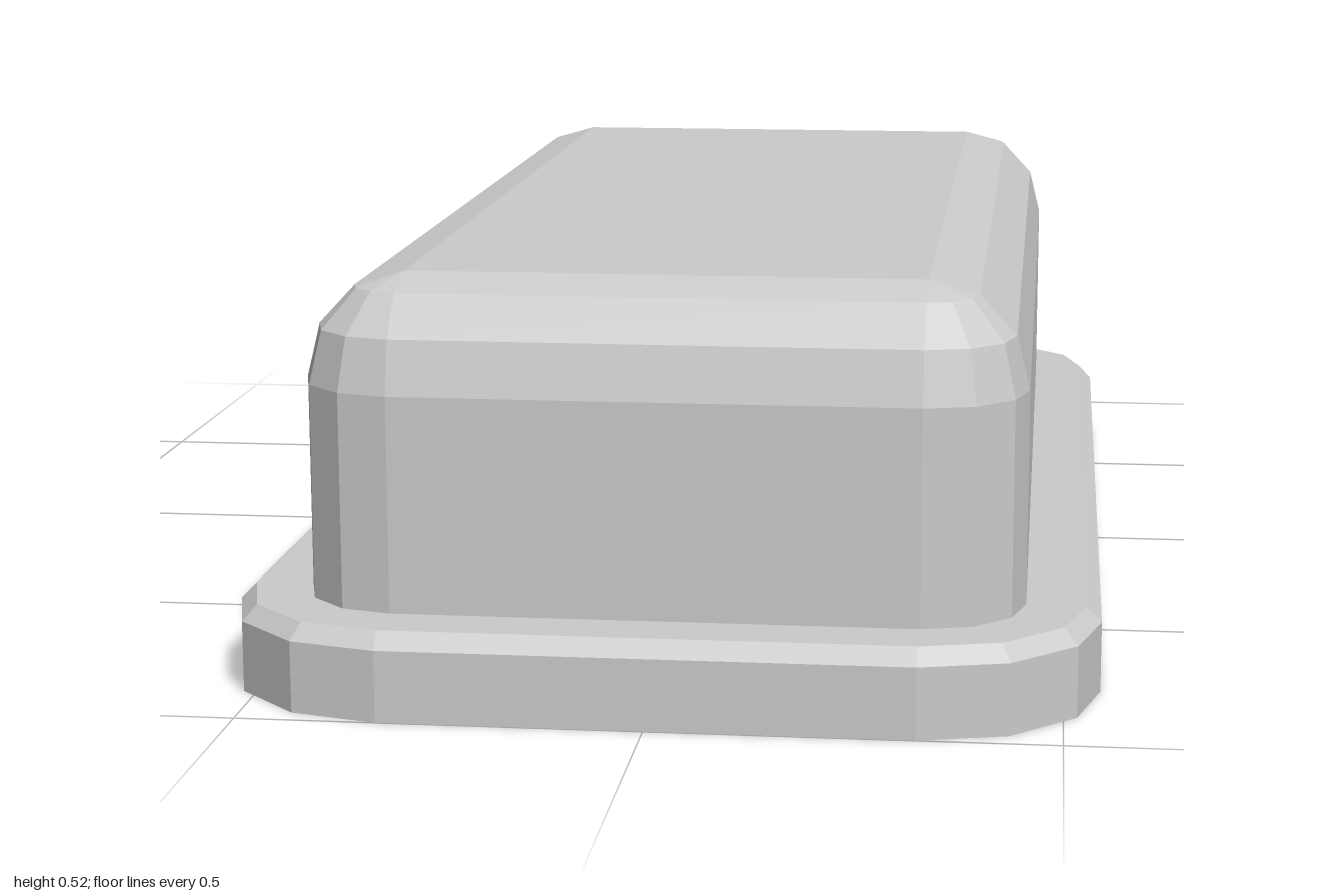
import * as THREE from 'three';

const CX = 0.326, CZ = 0.78;  // corner arc centres, shared by every ring
const SEG = 3;                // segments per rounded corner

// Rounded-rectangle loop at height y with corner radius r
function ring([r, y]) {
  const points = [];
  [[1, 1], [-1, 1], [-1, -1], [1, -1]].forEach(([sx, sz], q) => {
    for (let k = 0; k <= SEG; k++) {
      const a = (q + k / SEG) * Math.PI / 2;
      points.push([sx * CX + r * Math.cos(a), y, sz * CZ + r * Math.sin(a)]);
    }
  });
  return points;
}

// Faceted skin through a profile of [radius, height] pairs
function skin(profile) {
  const rings = profile.map(ring);
  const n = rings[0].length;
  const pos = [];
  for (let i = 0; i < rings.length - 1; i++) {
    const closing = profile[i + 1][0] === 0;
    for (let j = 0; j < n; j++) {
      const k = (j + 1) % n;
      const a = rings[i][j], b = rings[i][k], c = rings[i + 1][j], d = rings[i + 1][k];
      pos.push(...a, ...c, ...b);
      // corner facets shrink to a point where the radius reaches zero
      if (!closing || j % (SEG + 1) === SEG) pos.push(...b, ...c, ...d);
    }
  }
  const geo = new THREE.BufferGeometry();
  geo.setAttribute('position', new THREE.Float32BufferAttribute(pos, 3));
  geo.computeVertexNormals();
  return geo;
}

export function createModel() {
  const group = new THREE.Group();
  group.name = 'coveredTray';
  const material = new THREE.MeshStandardMaterial({
    color: 0xcccccc, flatShading: true, side: THREE.DoubleSide,
  });
  const add = (name, geo) => {
    const mesh = new THREE.Mesh(geo, material);
    mesh.name = name;
    group.add(mesh);
    return mesh;
  };

  // Rim: upright lip, small bevel and flat ledge, open underneath
  const bodyR = 0.126, ledgeY = 0.11;
  add('rim', skin([[0.22, 0], [0.22, 0.09], [0.2, ledgeY], [bodyR, ledgeY]]));

  // Hollow body: straight wall, then a rounded shoulder
  const wallTop = 0.382, roundH = 0.135;
  const profile = [[bodyR, ledgeY]];
  for (let i = 0; i <= SEG; i++) {
    const a = i / SEG * Math.PI / 2;
    profile.push([i === SEG ? 0 : bodyR * Math.cos(a), wallTop + roundH * Math.sin(a)]);
  }
  add('body', skin(profile));

  // Flat top panel
  const top = add('topPanel', new THREE.PlaneGeometry(CX * 2, CZ * 2).rotateX(-Math.PI / 2));
  top.position.y = wallTop + roundH;

  return group;
}
